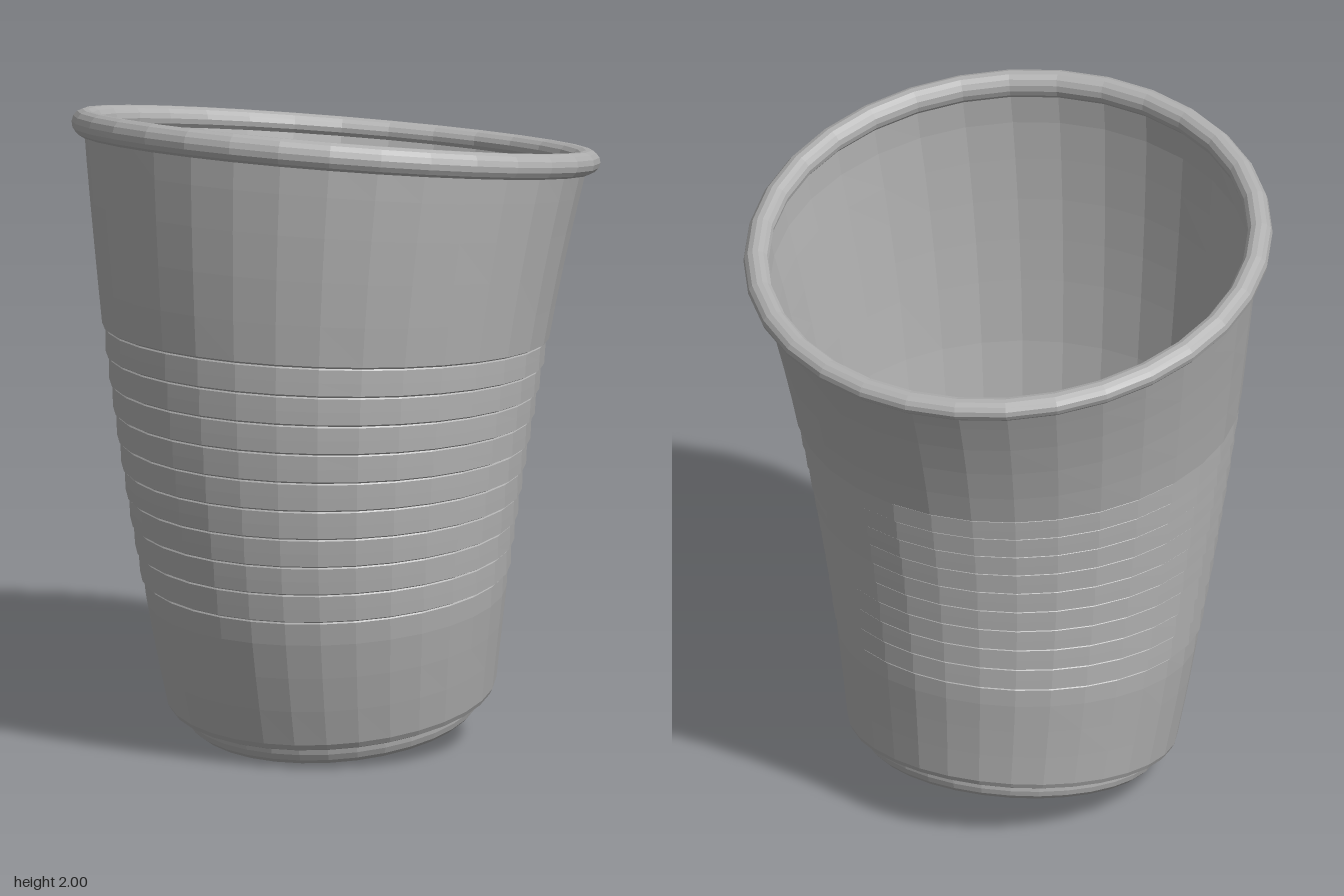
import * as THREE from 'three';

const SEGMENTS = 32;
const BEND_RADIUS = 4.9; // the cup's axis is an arc of this radius
const BEND_HEIGHT = 0.88; // height at which the rings lie level
const BEND_SHIFT = 0.087; // moves the middle back so the rim is centred
const DIR = new THREE.Vector2(1, -1).normalize(); // bend direction in x, z

// Bends a straight upright shape along the arc
function bend(geometry) {
  const p = geometry.attributes.position;
  for (let i = 0; i < p.count; i++) {
    const x = p.getX(i), z = p.getZ(i);
    const u = x * DIR.x + z * DIR.y;
    const side = x * DIR.y - z * DIR.x;
    const angle = (p.getY(i) - BEND_HEIGHT) / BEND_RADIUS;
    const d = BEND_RADIUS - BEND_SHIFT - (BEND_RADIUS - u) * Math.cos(angle);
    const y = BEND_HEIGHT + (BEND_RADIUS - u) * Math.sin(angle);
    p.setXYZ(i, d * DIR.x + side * DIR.y, y, d * DIR.y - side * DIR.x);
  }
  geometry.computeVertexNormals();
  return geometry;
}

export function createModel() {
  const cup = new THREE.Group();
  cup.name = 'cup';
  const plastic = new THREE.MeshStandardMaterial({ color: 0xb0b0b0, flatShading: true });
  plastic.name = 'grey plastic';

  function addRound(name, profile) {
    const points = profile.map(([r, y]) => new THREE.Vector2(r, y));
    const mesh = new THREE.Mesh(bend(new THREE.LatheGeometry(points, SEGMENTS)), plastic);
    mesh.name = name;
    cup.add(mesh);
  }

  // Underside: recessed disc and rounded foot ring
  addRound('foot', [
    [0, 0.105], [0.35, 0.105], [0.362, 0.095], [0.37, 0.078], [0.385, 0.066],
    [0.402, 0.063], [0.425, 0.068], [0.44, 0.082], [0.446, 0.1], [0.447, 0.125],
  ]);

  // Outer wall: rounded lower edge, stepped bands, plain upper part
  const wall = [
    [0.447, 0.125], [0.475, 0.125], [0.488, 0.131], [0.496, 0.147],
    [0.512, 0.25], [0.527, 0.35], [0.541, 0.45], [0.546, 0.512],
  ];
  const ribs = 10, pitch = 0.081;
  for (let i = 0; i < ribs; i++) {
    const y = 0.516 + i * pitch, r = 0.546 + i * 0.0127;
    wall.push([r, y - 0.004], [r - 0.003, y], [r + 0.01, y + 0.006]);
    if (i < ribs - 1) wall.push([r + 0.0115, y + pitch / 2]);
  }
  wall.push([0.686, 1.36], [0.704, 1.48], [0.723, 1.6], [0.741, 1.71], [0.757, 1.81]);
  addRound('outerWall', wall);

  // Rolled rim
  const rim = [];
  for (let i = 0; i <= 14; i++) {
    const a = (i / 14) * Math.PI * 2;
    rim.push([0.757 + 0.038 * Math.cos(a), 1.82 + 0.038 * Math.sin(a)]);
  }
  addRound('rim', rim);

  // Inner wall, running down to the groove and raised floor
  addRound('innerWall', [
    [0.735, 1.81], [0.725, 1.71], [0.706, 1.6], [0.687, 1.48], [0.668, 1.36],
    [0.65, 1.24], [0.625, 1.06], [0.595, 0.88], [0.566, 0.7], [0.535, 0.52],
    [0.51, 0.35], [0.482, 0.165], [0.472, 0.147], [0.452, 0.141], [0.434, 0.134],
    [0.427, 0.1], [0.416, 0.085], [0.4, 0.08], [0.386, 0.086], [0.376, 0.105],
    [0.366, 0.118], [0.35, 0.122], [0, 0.122],
  ]);
  return cup;
}
